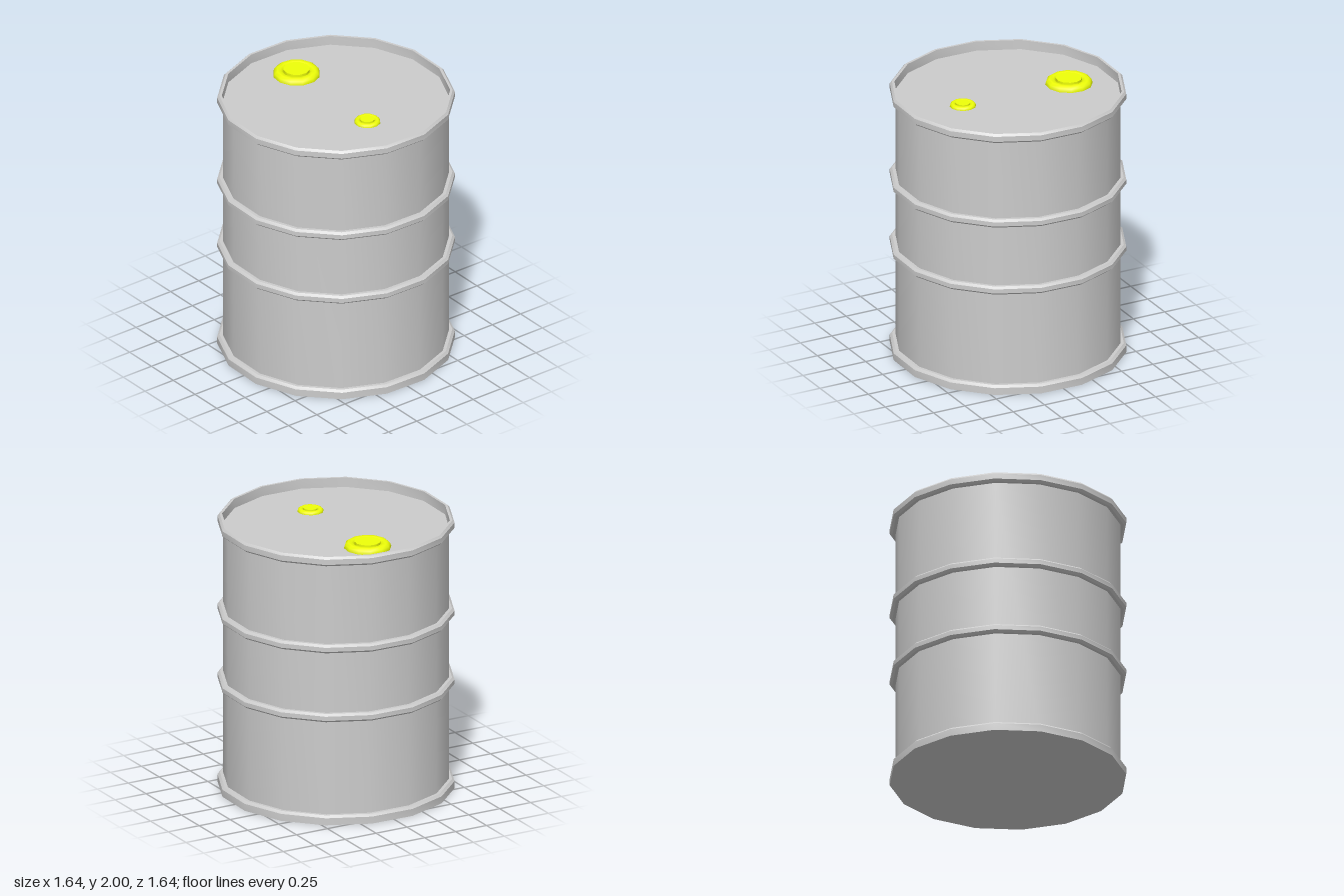
import * as THREE from 'three';
import { toCreasedNormals } from 'three/addons/utils/BufferGeometryUtils.js';

const SIDES = 16;
const TURN = THREE.MathUtils.degToRad(10.15); // slight twist of the 16-sided drum
const BODY = 0.795, RIM = 0.835, LID_Y = 1.93;

const grey = new THREE.MeshStandardMaterial({ color: 0xcccccc });
const yellow = new THREE.MeshStandardMaterial({ color: 0xeeff08 });

// Revolve a [radius, height] profile, listed upwards, keeping its hard edges
function ring(name, profile) {
  const points = profile.map(([r, y]) => new THREE.Vector2(r, y));
  const geometry = new THREE.LatheGeometry(points, SIDES, TURN);
  const mesh = new THREE.Mesh(toCreasedNormals(geometry, 0.5), grey);
  mesh.name = name;
  return mesh;
}

// Round collar with a raised plug in the middle, sunk halfway into the lid
function cap(name, x, z, size) {
  const group = new THREE.Group();
  group.name = name;

  const collarShape = new THREE.TorusGeometry(0.126, 0.042, 10, 12);
  collarShape.rotateX(-Math.PI / 2);
  const collar = new THREE.Mesh(collarShape, yellow);
  collar.name = 'capCollar';

  const plug = new THREE.Mesh(new THREE.CylinderGeometry(0.093, 0.093, 0.045, 12), yellow);
  plug.name = 'capPlug';
  plug.position.y = 0.0225;

  group.add(collar, plug);
  group.position.set(x, LID_Y, z);
  group.rotation.y = THREE.MathUtils.degToRad(8);
  group.scale.setScalar(size);
  return group;
}

export function createModel() {
  const drum = new THREE.Group();
  drum.name = 'drum';

  // Wall between the two rims
  drum.add(ring('wall', [[BODY, 0.03], [BODY, 1.96]]));

  // Bottom rim with the flat base
  drum.add(ring('bottomRim', [[0, 0], [RIM, 0], [RIM, 0.052], [0.818, 0.068], [BODY, 0.068]]));

  // Two hoops around the wall
  for (const y of [0.795, 1.31]) {
    drum.add(ring('hoop', [
      [BODY, y - 0.031], [0.818, y - 0.031], [RIM, y - 0.016],
      [RIM, y + 0.016], [0.818, y + 0.031], [BODY, y + 0.031],
    ]));
  }

  // Top rim, running over its edge and down to the sunken lid
  drum.add(ring('topRimAndLid', [
    [BODY, 1.93], [0.818, 1.93], [RIM, 1.945], [RIM, 1.984],
    [0.82, 2], [0.802, 2], [0.802, LID_Y], [0, LID_Y],
  ]));

  drum.add(cap('largeCap', 0.018, -0.476, 1));
  drum.add(cap('smallCap', 0, 0.36, 0.555));
  return drum;
}
